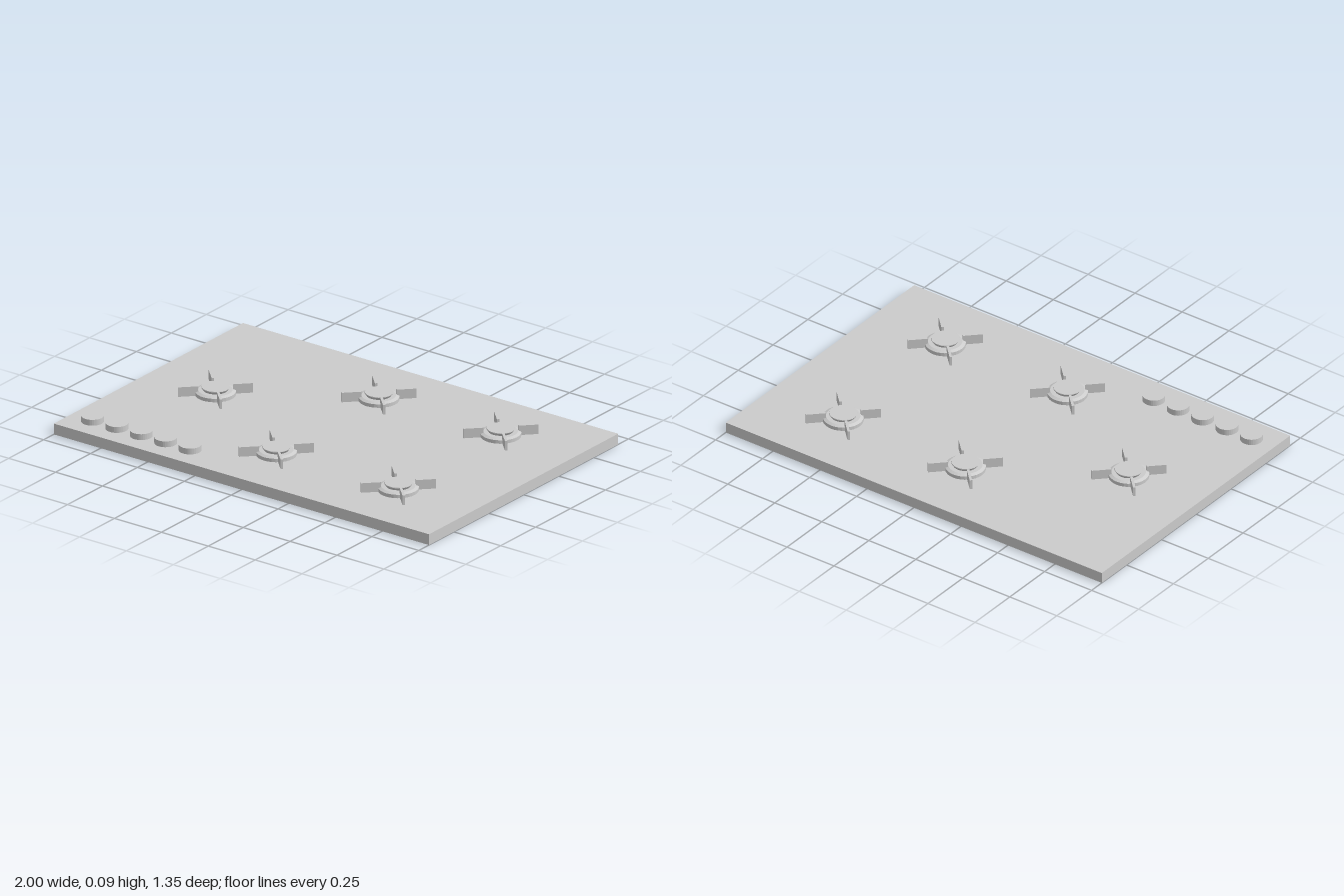
import * as THREE from 'three';

const TOP = 0.05; // height of the hob surface

export function createModel() {
  const material = new THREE.MeshStandardMaterial({ color: 0xcccccc, flatShading: true });
  const model = new THREE.Group();
  model.name = 'gasHob';

  const add = (parent, name, geometry, x = 0, y = 0, z = 0) => {
    const mesh = new THREE.Mesh(geometry, material);
    mesh.name = name;
    mesh.position.set(x, y, z);
    parent.add(mesh);
    return mesh;
  };

  const lathe = (points) =>
    new THREE.LatheGeometry(points.map(([r, y]) => new THREE.Vector2(r, y)), 32);

  // Flat worktop slab
  add(model, 'hobPlate', new THREE.BoxGeometry(2, TOP, 1.354), 0, TOP / 2, 0);

  // Stepped burner ring, and a cap that flares outwards to its flat top
  const ringGeometry = lathe([[0.088, 0], [0.088, 0.016], [0.074, 0.022], [0, 0.022]]);
  const capGeometry = lathe([[0.052, 0.02], [0.061, 0.034], [0.06, 0.037], [0, 0.037]]);
  const armGeometry = new THREE.BoxGeometry(0.086, 0.044, 0.011);

  function burner(x, z) {
    const group = new THREE.Group();
    group.name = 'burner';
    group.position.set(x, TOP, z);
    add(group, 'burnerRing', ringGeometry);
    add(group, 'burnerCap', capGeometry);
    // Four diagonal pan supports
    for (let i = 0; i < 4; i++) {
      const angle = Math.PI / 4 + (i * Math.PI) / 2;
      const arm = add(group, 'panSupport', armGeometry,
        Math.cos(angle) * 0.119, 0.022, Math.sin(angle) * 0.119);
      arm.rotation.y = -angle;
    }
    model.add(group);
  }

  [[-0.04, -0.36], [0.61, -0.36], [-0.635, 0.01], [-0.04, 0.373], [0.61, 0.373]]
    .forEach(([x, z]) => burner(x, z));

  // Row of control knobs
  const knobGeometry = new THREE.CylinderGeometry(0.049, 0.049, 0.027, 32);
  for (let i = 0; i < 5; i++) {
    add(model, 'controlKnob', knobGeometry, -0.883 + i * 0.13, TOP + 0.0135, 0.557);
  }

  return model;
}
